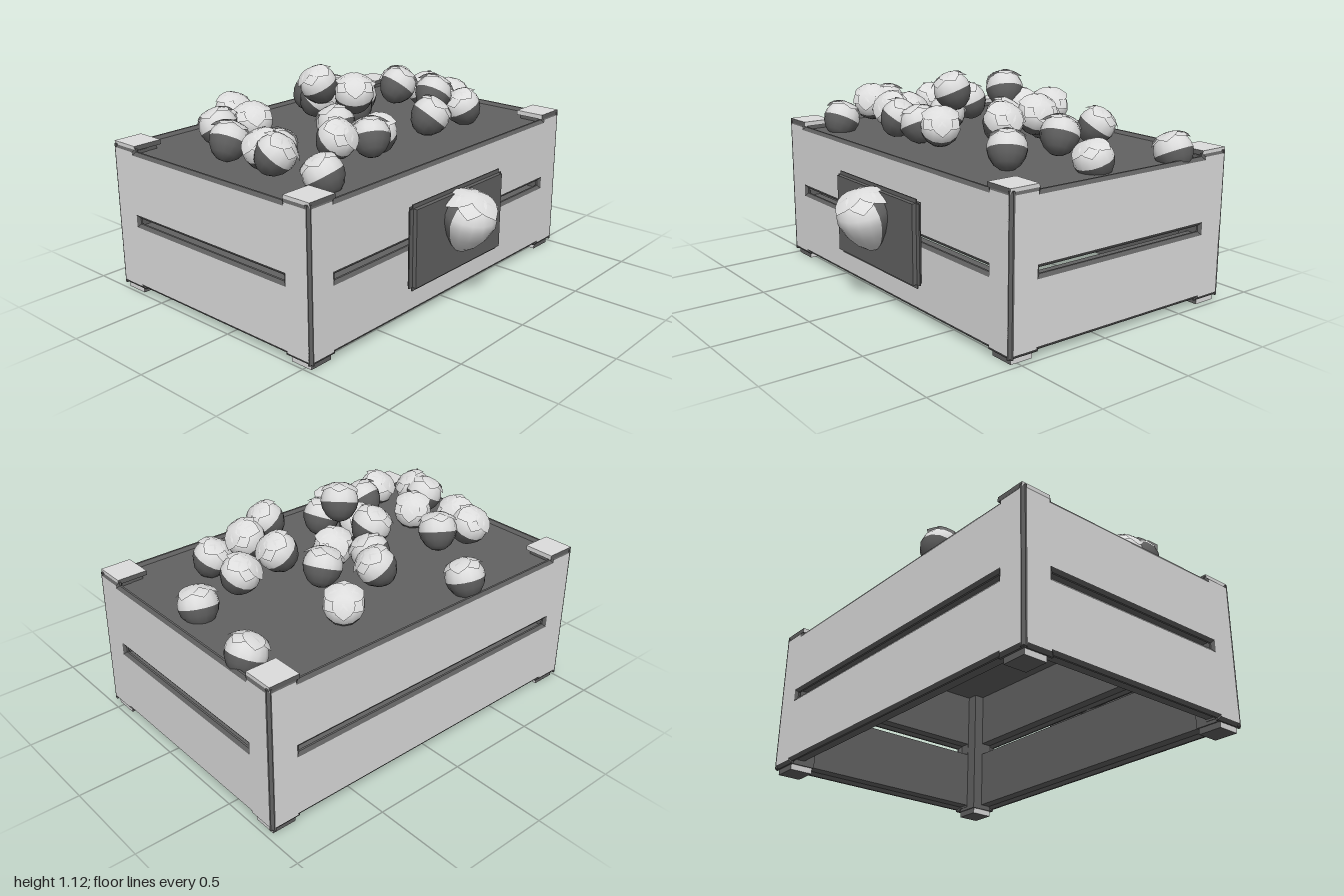
import * as THREE from 'three';

const light = new THREE.MeshStandardMaterial({ color: 0xdcdcdc, side: THREE.DoubleSide });
light.name = 'light grey';
const dark = new THREE.MeshStandardMaterial({ color: 0x626262, side: THREE.DoubleSide });
dark.name = 'dark grey';

// crate extents
const FRONT = 0.555, BACK = -0.807, MID_Z = (FRONT + BACK) / 2, HALF_Z = (FRONT - BACK) / 2;
const MID_X = -0.0075, HALF_X = 0.9915;
const BEVEL = 0.018;

function add(parent, name, geometry, material, x = 0, y = 0, z = 0) {
  const mesh = new THREE.Mesh(geometry, material);
  mesh.name = name;
  mesh.position.set(x, y, z);
  parent.add(mesh);
  return mesh;
}

// wall outline: taller ends at the corners and a long slot in the middle
function wallShape(half, inner) {
  const right = [[inner, 0.056], [inner, 0.046], [half, 0.046], [half, 0.766], [inner, 0.766], [inner, 0.75]];
  const left = right.map(([x, y]) => [-x, y]).reverse();
  const shape = new THREE.Shape([...right, ...left].map(p => new THREE.Vector2(...p)));
  shape.holes.push(new THREE.Path([[-inner, 0.371], [-inner, 0.438], [inner, 0.438], [inner, 0.371]]
    .map(p => new THREE.Vector2(...p))));
  return shape;
}

// wall with its outer face on local z = 0: light board, dark bevels, dark lining
function makeWall(name, half, inner) {
  const wall = new THREE.Group();
  wall.name = name;
  const board = new THREE.ExtrudeGeometry(wallShape(half - BEVEL, inner), {
    depth: 0.01, bevelThickness: 0.012, bevelSize: BEVEL, bevelSegments: 1,
  });
  add(wall, 'board', board, [light, dark], 0, 0, -0.022);
  const lining = new THREE.ExtrudeGeometry(wallShape(half - 0.035, inner), { depth: 0.07, bevelEnabled: false });
  add(wall, 'lining', lining, dark, 0, 0, -0.09);
  return wall;
}

const points = list => list.map(p => new THREE.Vector2(...p));

// rounded shoulder and two kinds of lower body, as radius and height
const shoulder = [[0.143, 0], [0.14, 0.04], [0.12, 0.085], [0.08, 0.115], [0, 0.128]];
const longTip = [[0, -0.178], [0.035, -0.168], [0.08, -0.125], [0.12, -0.065]];
const roundTip = [[0, -0.15], [0.05, -0.138], [0.095, -0.105], [0.13, -0.05]];

const signFront = new THREE.LatheGeometry(points([...longTip, ...shoulder]), 8, -Math.PI / 2, Math.PI);
const signRear = new THREE.LatheGeometry(points([...longTip, ...shoulder]), 8, Math.PI / 2, Math.PI);
const looseTop = new THREE.LatheGeometry(points(shoulder), 14);
const looseBottom = new THREE.LatheGeometry(points([...roundTip, shoulder[0]]), 14);

// leaf hugging the top of the berry, with its tip lifting away
function makeLeaf() {
  const leaf = new THREE.PlaneGeometry(1, 1, 4, 5);
  const p = leaf.attributes.position;
  for (let i = 0; i < p.count; i++) {
    const t = 0.5 - p.getY(i);
    const width = 0.075 * Math.pow(Math.max(0, Math.sin(Math.PI * (0.12 + 0.88 * t))), 0.7);
    const across = p.getX(i) * 2 * width;
    const angle = t * 1.1;
    const radius = 0.147 + 0.02 * t * t * t - across * across * 1.5;
    p.setXYZ(i, across, radius * Math.cos(angle) - 0.004, radius * Math.sin(angle));
  }
  leaf.computeVertexNormals();
  return leaf;
}
const leafGeometry = makeLeaf();

// light and dark body parts under a ring of six leaves
function makeBerry(name, lightBody, darkBody) {
  const berry = new THREE.Group();
  berry.name = name;
  add(berry, 'berryLightSide', lightBody, light);
  add(berry, 'berryDarkSide', darkBody, dark);
  for (let i = 0; i < 6; i++) {
    const leaf = add(berry, 'leaf', leafGeometry, light);
    leaf.rotation.y = i * Math.PI / 3;
    leaf.scale.setScalar(i % 2 ? 1 : 1.03);
  }
  return berry;
}

// x, y, z of each loose berry
const heap = [
  [-0.29, 0.82, -0.71], [0.34, 0.83, -0.54], [0.89, 0.79, -0.53], [0.06, 0.90, -0.46],
  [-0.66, 0.87, -0.39], [-0.49, 0.87, -0.33], [-0.74, 0.85, -0.23], [-0.08, 1.00, -0.26],
  [-0.02, 0.90, -0.33], [0.06, 0.88, -0.14], [0.23, 0.88, -0.26], [0.37, 0.94, -0.10],
  [0.58, 0.88, -0.07], [0.82, 0.80, -0.07], [-0.63, 0.83, -0.01], [-0.77, 0.87, 0.05],
  [-0.79, 0.87, 0.14], [-0.24, 0.87, 0.01], [-0.14, 1.01, 0.04], [0.39, 0.93, 0.13],
  [0.54, 0.84, 0.22], [-0.46, 0.88, 0.21], [-0.29, 0.87, 0.28], [-0.18, 0.85, 0.23],
  [0.13, 0.89, 0.31], [-0.72, 0.81, 0.38],
];

export function createModel() {
  const model = new THREE.Group();
  model.name = 'berryCrate';

  // four slotted walls
  const walls = [
    ['frontWall', HALF_X, 0.845, MID_X, FRONT, 0],
    ['backWall', HALF_X, 0.845, MID_X, BACK, Math.PI],
    ['leftWall', HALF_Z, 0.53, MID_X + HALF_X, MID_Z, Math.PI / 2],
    ['rightWall', HALF_Z, 0.53, MID_X - HALF_X, MID_Z, -Math.PI / 2],
  ];
  for (const [name, half, inner, x, z, turn] of walls) {
    const wall = makeWall(name, half, inner);
    wall.position.set(x, 0, z);
    wall.rotation.y = turn;
    model.add(wall);
  }

  // corner posts with caps and feet
  for (const sx of [-1, 1]) for (const sz of [-1, 1]) {
    const x = MID_X + sx * 0.903, z = MID_Z + sz * (HALF_Z - 0.083);
    add(model, 'cornerPost', new THREE.BoxGeometry(0.13, 0.74, 0.13), dark, x, 0.4, z);
    add(model, 'postCap', new THREE.BoxGeometry(0.16, 0.024, 0.16),
      [light, light, light, dark, dark, dark], x, 0.784, z);
    add(model, 'foot', new THREE.BoxGeometry(0.127, 0.045, 0.12),
      [light, light, dark, dark, dark, dark], MID_X + sx * 0.909, 0.0225, z + sz * 0.002);
  }

  // surface the berries rest on
  add(model, 'fillSurface', new THREE.BoxGeometry(1.82, 0.01, 1.2), dark, MID_X, 0.745, MID_Z);

  // front sign with thin notched edging and a berry leaning forward on it
  add(model, 'signBoard', new THREE.BoxGeometry(0.695, 0.4, 0.05), dark, -0.0075, 0.4, 0.597);
  add(model, 'signSideEdging', new THREE.BoxGeometry(0.745, 0.4, 0.006), dark, -0.0075, 0.4, 0.597);
  add(model, 'signTopEdging', new THREE.BoxGeometry(0.7, 0.44, 0.006), dark, -0.0075, 0.4, 0.597);
  const signBerry = makeBerry('signBerry', signFront, signRear);
  signBerry.position.set(-0.008, 0.463, 0.662);
  signBerry.rotation.x = 0.25;
  model.add(signBerry);

  // heap of berries, each tipped its own way
  heap.forEach(([x, y, z], i) => {
    const berry = makeBerry('looseBerry', looseTop, looseBottom);
    berry.position.set(x, y, z);
    berry.rotation.set(0.35 + 0.4 * ((i * 0.618) % 1), i * 2.4, 0, 'YXZ');
    berry.scale.setScalar(0.69);
    model.add(berry);
  });
  return model;
}
